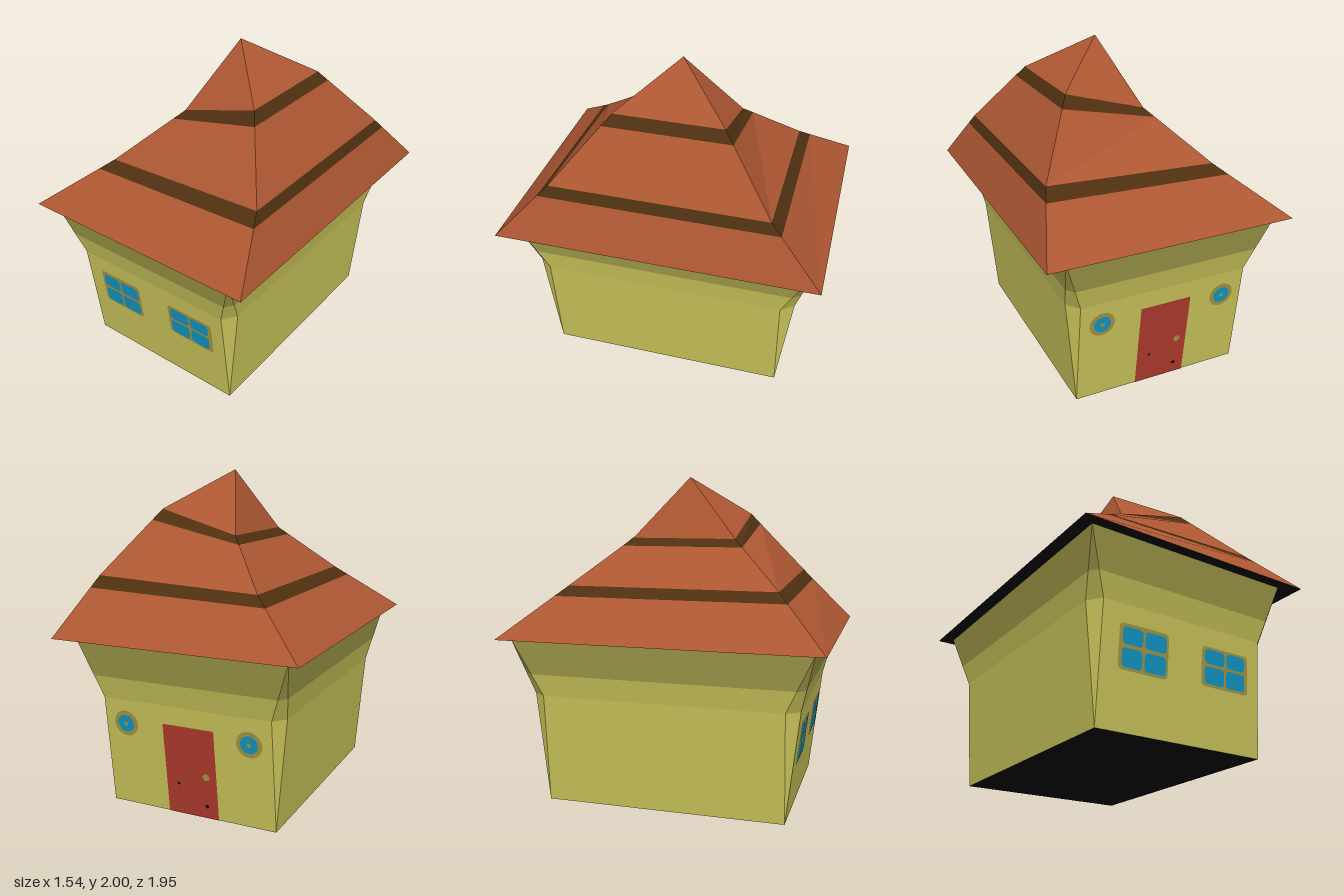
import * as THREE from 'three';

const paint = (name, color, side = THREE.FrontSide) => {
  const m = new THREE.MeshStandardMaterial({ color, side });
  m.name = name;
  return m;
};

// Four corners, counter-clockwise from above, starting at front right
const rect = (x0, x1, z, yLeft, yRight = yLeft) => [
  [x0, yLeft, z], [x1, yRight, z], [x1, yRight, -z], [x0, yLeft, -z],
];

// Eight-point section: sides at xo0..xo1, front/back at zo, corners cut back to xi0, xi1, zi
const octagon = (xo0, xo1, zo, xi0, xi1, zi, y) => [
  [xi0, y, zo], [xi1, y, zo], [xo1, y, zi], [xo1, y, -zi],
  [xi1, y, -zo], [xi0, y, -zo], [xo0, y, -zi], [xo0, y, zi],
];

const mixRings = (a, b, t) =>
  a.map((p, i) => p.map((v, k) => v + (b[i][k] - v) * t));

// Faceted skin between successive rings
function loft(rings) {
  const pos = [];
  for (let r = 0; r + 1 < rings.length; r++) {
    const lo = rings[r], hi = rings[r + 1], n = lo.length;
    for (let i = 0; i < n; i++) {
      const j = (i + 1) % n;
      pos.push(...lo[i], ...lo[j], ...hi[j], ...lo[i], ...hi[j], ...hi[i]);
    }
  }
  const g = new THREE.BufferGeometry();
  g.setAttribute('position', new THREE.Float32BufferAttribute(pos, 3));
  g.computeVertexNormals();
  return g;
}

function roundedRect(x0, x1, y0, y1, r) {
  const s = new THREE.Shape();
  s.moveTo(x0 + r, y0);
  s.lineTo(x1 - r, y0);
  s.quadraticCurveTo(x1, y0, x1, y0 + r);
  s.lineTo(x1, y1 - r);
  s.quadraticCurveTo(x1, y1, x1 - r, y1);
  s.lineTo(x0 + r, y1);
  s.quadraticCurveTo(x0, y1, x0, y1 - r);
  s.lineTo(x0, y0 + r);
  s.quadraticCurveTo(x0, y0, x0 + r, y0);
  return new THREE.ShapeGeometry(s, 4);
}

export function createModel() {
  const house = new THREE.Group();
  house.name = 'house';

  const wall = paint('wall yellow', 0xc9c45a);
  const wallTop = paint('eaves olive', 0xa39e4a);
  const tile = paint('roof terracotta', 0xad5732);
  const stripe = paint('stripe brown', 0x4f3010);
  const trim = paint('trim olive', 0xa39643);
  const glass = paint('glass blue', 0x1097c4);
  const red = paint('door red', 0xb03b2d);
  const black = paint('underside black', 0x060606);

  const add = (parent, name, geometry, material, z = 0) => {
    const m = new THREE.Mesh(geometry, material);
    m.name = name;
    m.position.z = z;
    parent.add(m);
    return m;
  };

  // Walls: sharp foot, cut corners at mid height, sharp flared top
  const foot = octagon(-0.56, 0.52, 0.74, -0.56, 0.52, 0.74, 0);
  const waist = octagon(-0.62, 0.58, 0.82, -0.56, 0.52, 0.74, 0.68);
  const head = octagon(-0.69, 0.64, 0.91, -0.69, 0.64, 0.91, 1.04);
  const bandLine = mixRings(waist, head, 0.38);
  add(house, 'walls', loft([foot, waist, bandLine]), wall);
  add(house, 'wallBand', loft([bandLine, head]), wallTop);

  const floor = new THREE.PlaneGeometry(1.08, 1.48).rotateX(Math.PI / 2);
  add(house, 'floor', floor, black).position.x = -0.02;

  // Crooked roof, each bend with a dark stripe just below it
  const eaves = rect(-0.77, 0.77, 0.975, 1.04);
  const bend1 = rect(-0.40, 0.64, 0.655, 1.335, 1.38);
  const bend2 = rect(-0.11, 0.385, 0.33, 1.62, 1.765);
  const apex = rect(0.05, 0.05, 0, 2);
  const under1 = mixRings(bend1, eaves, 0.2);
  const under2 = mixRings(bend2, bend1, 0.17);
  add(house, 'lowerRoof', loft([eaves, under1]), tile);
  add(house, 'lowerStripe', loft([under1, bend1]), stripe);
  add(house, 'middleRoof', loft([bend1, under2]), tile);
  add(house, 'upperStripe', loft([under2, bend2]), stripe);
  add(house, 'roofTip', loft([bend2, apex]), tile);
  const soffit = new THREE.PlaneGeometry(1.54, 1.95).rotateX(Math.PI / 2);
  add(house, 'roofUnderside', soffit, black).position.y = 1.04;

  // Painted details lie on the leaning lower walls
  const lean = Math.atan2(0.08, 0.68);
  const facade = (name, turn) => {
    const side = new THREE.Group();
    side.name = name;
    side.rotation.y = turn;
    const plane = new THREE.Group();
    plane.name = name + 'Details';
    plane.position.z = 0.74;
    plane.rotation.x = lean;
    side.add(plane);
    house.add(side);
    return plane;
  };

  // Front: two four-pane windows
  const front = facade('front', 0);
  const windows = [
    { name: 'rightWindow', frame: [-0.45, -0.13, 0.325, 0.58],
      xs: [[-0.43, -0.30], [-0.285, -0.145]], ys: [[0.34, 0.445], [0.465, 0.56]] },
    { name: 'leftWindow', frame: [0.10, 0.435, 0.345, 0.575],
      xs: [[0.12, 0.26], [0.275, 0.41]], ys: [[0.36, 0.46], [0.475, 0.56]] },
  ];
  for (const w of windows) {
    add(front, w.name + 'Frame', roundedRect(...w.frame, 0.03), trim, 0.003);
    for (const x of w.xs) for (const y of w.ys) {
      add(front, w.name + 'Pane', roundedRect(...x, ...y, 0.025), glass, 0.006);
    }
  }

  // Back: door with knob, and a round window on either side
  const back = facade('back', Math.PI);
  const disc = (name, x, y, r, material, z) =>
    add(back, name, new THREE.CircleGeometry(r, 20).translate(x, y, 0), material, z);
  add(back, 'door', roundedRect(-0.13, 0.20, 0, 0.57, 0.005), red, 0.003);
  disc('doorKnob', 0.135, 0.27, 0.022, trim, 0.006);
  disc('doorNail', -0.05, 0.2, 0.009, black, 0.006);
  disc('doorNail', 0.13, 0.08, 0.012, black, 0.006);
  for (const [x, y] of [[-0.38, 0.535], [0.42, 0.525]]) {
    disc('roundWindowFrame', x, y, 0.08, trim, 0.003);
    disc('roundWindowPane', x, y, 0.054, glass, 0.006);
    disc('roundWindowCentre', x, y, 0.014, trim, 0.009);
  }

  return house;
}
